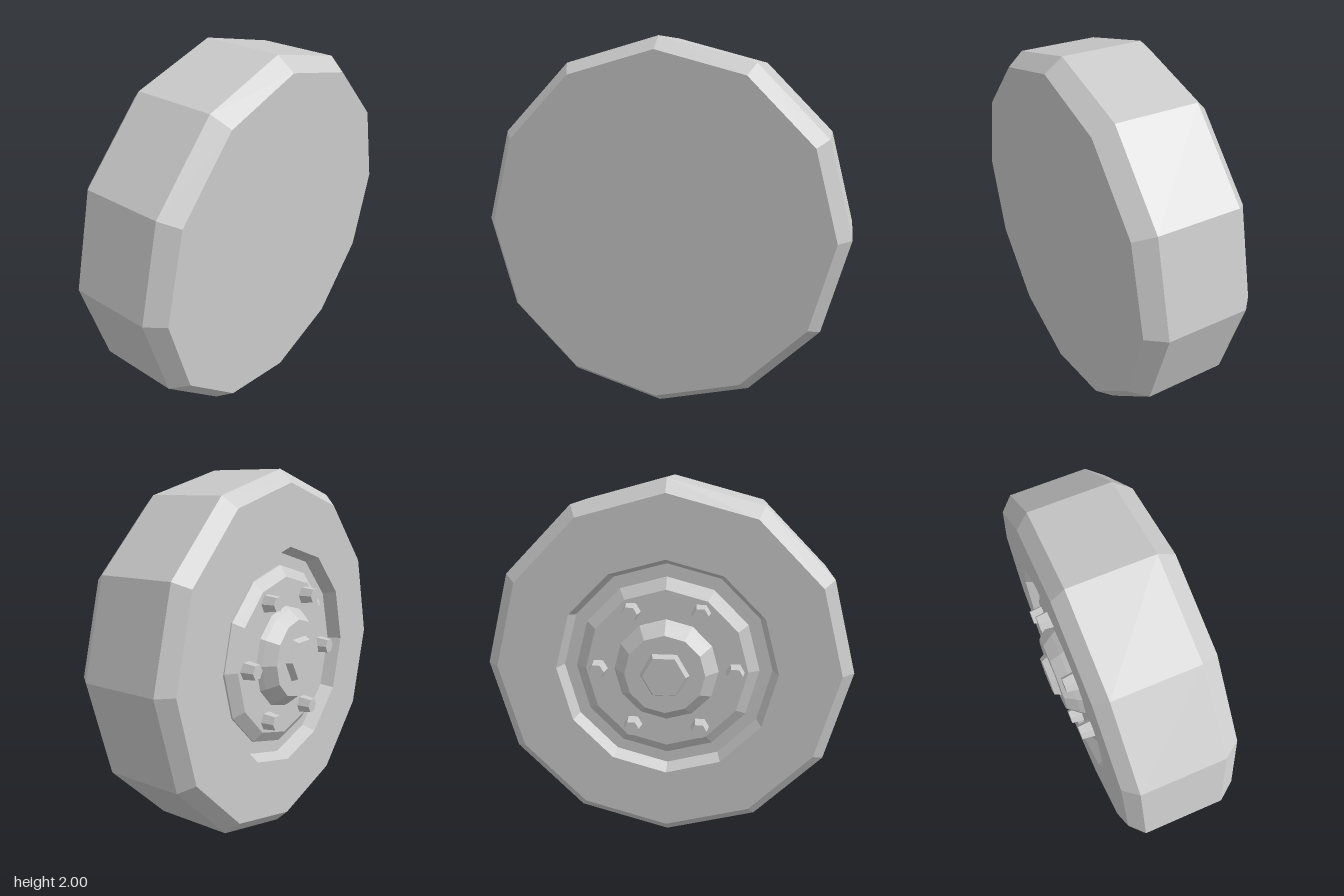
import * as THREE from 'three';

const material = new THREE.MeshStandardMaterial({ color: 0xcccccc, flatShading: true });

// Faceted solid of revolution; each point is [radius, distance along the axle]
function turned(name, points, sides) {
  const profile = points.map(([r, t]) => new THREE.Vector2(r, t));
  const mesh = new THREE.Mesh(new THREE.LatheGeometry(profile, sides), material);
  mesh.name = name;
  return mesh;
}

export function createModel() {
  const model = new THREE.Group();
  model.name = 'wheel';

  // Axle group: local +y becomes -x, the detailed outer side
  const axle = new THREE.Group();
  axle.name = 'axle';
  axle.rotation.z = Math.PI / 2;
  axle.position.y = 1;
  model.add(axle);

  // Chamfered tyre, flat on the inner side, recessed on the outer side
  axle.add(turned('tyre', [
    [0, -0.345], [0.93, -0.345], [1, -0.25], [1, 0.185], [0.93, 0.255],
    [0.6, 0.255], [0.57, 0.18], [0, 0.18],
  ], 12));

  // Rim plate standing inside the recess
  axle.add(turned('rimPlate', [[0.5, 0.175], [0.5, 0.19], [0.44, 0.23], [0, 0.23]], 12));

  // Raised hub and its six-sided cap
  axle.add(turned('hub', [[0.29, 0.22], [0.265, 0.255], [0.215, 0.315], [0, 0.315]], 12));
  axle.add(turned('hubCap', [[0.135, 0.31], [0.115, 0.35], [0, 0.35]], 6));

  // Ring of wheel nuts
  const nutGeometry = new THREE.CylinderGeometry(0.042, 0.052, 0.08, 6);
  for (let i = 0; i < 6; i++) {
    const angle = (i * Math.PI) / 3;
    const nut = new THREE.Mesh(nutGeometry, material);
    nut.name = `wheelNut${i + 1}`;
    nut.position.set(0.37 * Math.sin(angle), 0.262, 0.37 * Math.cos(angle));
    axle.add(nut);
  }

  return model;
}
